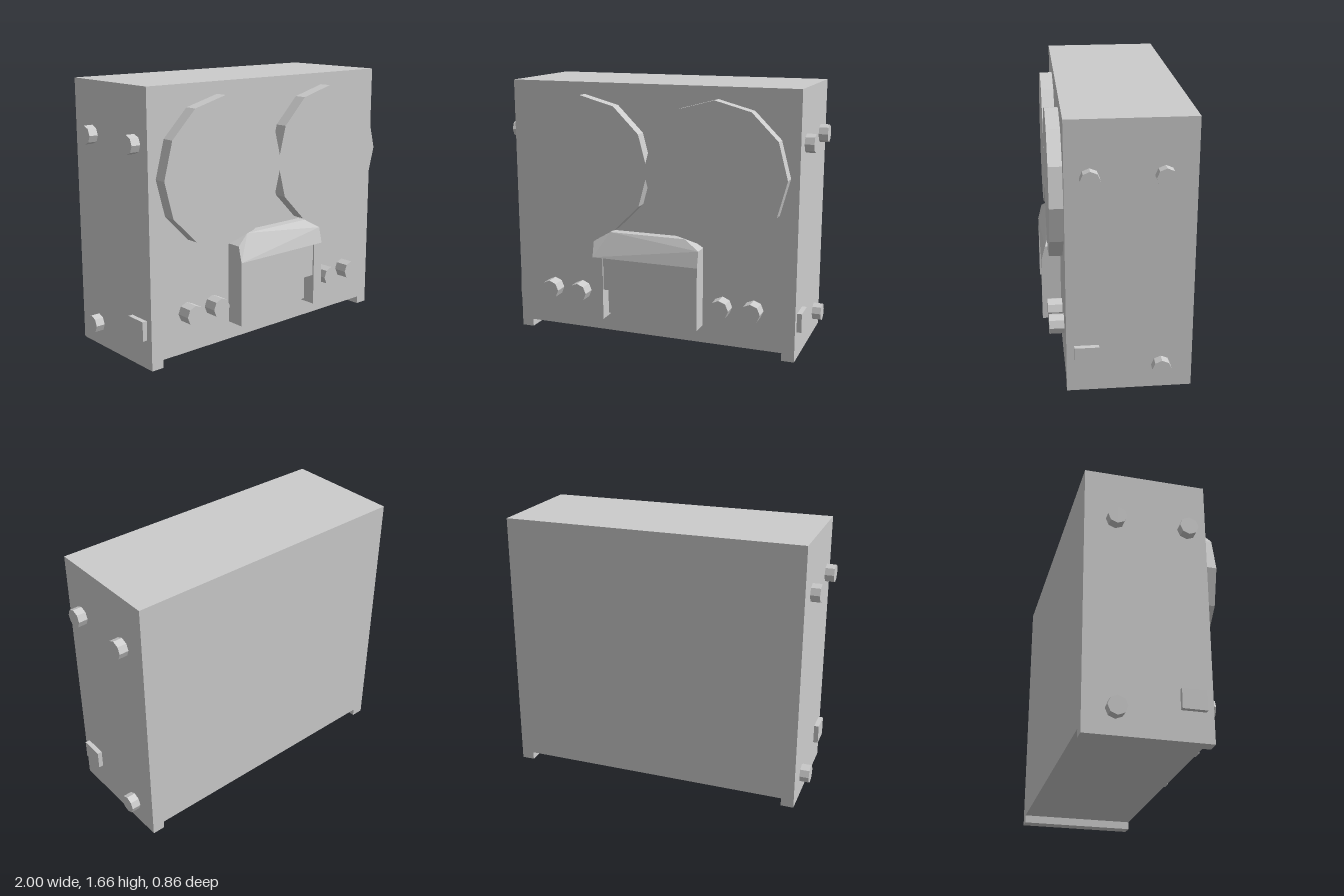
import * as THREE from 'three';

export function createModel() {
  const model = new THREE.Group();
  model.name = 'tapeRecorder';
  const grey = new THREE.MeshStandardMaterial({ color: 0xcccccc, flatShading: true });
  grey.name = 'plain grey';
  const FRONT = 0.31, BACK = -0.43, SIDE = 0.94;

  function add(name, geometry, x = 0, y = 0, z = 0) {
    const mesh = new THREE.Mesh(geometry, grey);
    mesh.name = name;
    mesh.position.set(x, y, z);
    model.add(mesh);
    return mesh;
  }
  // Box given by its limits
  function block(name, x0, x1, y0, y1, z0, z1) {
    return add(name, new THREE.BoxGeometry(x1 - x0, y1 - y0, z1 - z0),
      (x0 + x1) / 2, (y0 + y1) / 2, (z0 + z1) / 2);
  }
  function extrude(points, depth) {
    const shape = new THREE.Shape(points.map(([x, y]) => new THREE.Vector2(x, y)));
    return new THREE.ExtrudeGeometry(shape, { depth, bevelEnabled: false });
  }
  // Faceted disc whose axis runs along z
  function disc(radius, depth, sides) {
    return new THREE.CylinderGeometry(radius, radius, depth, sides).rotateX(Math.PI / 2);
  }

  // Case with a runner along each lower side
  add('case', extrude([
    [-SIDE, 0], [-0.86, 0], [-0.86, 0.05], [0.86, 0.05],
    [0.86, 0], [SIDE, 0], [SIDE, 1.665], [-SIDE, 1.665],
  ], FRONT - BACK), 0, 0, BACK);

  // Head cover hood: the front leans back towards the top
  const hood = extrude([
    [-0.35, 0.57], [0.35, 0.57], [0.35, 0.67],
    [0.25, 0.73], [-0.25, 0.73], [-0.35, 0.67],
  ], 0.12);
  const p = hood.attributes.position;
  for (let i = 0; i < p.count; i++) {
    if (p.getZ(i) < 0.06) continue;
    const y = p.getY(i);
    if (y > 0.7) p.setZ(i, 0.06);
    else if (y > 0.6) p.setZ(i, 0.095);
  }
  hood.computeVertexNormals();
  add('headCoverHood', hood, 0, 0, FRONT);

  // Panels set between the posts of the head cover
  block('upperHeadPanel', -0.28, 0.28, 0.36, 0.57, FRONT, 0.42);
  block('lowerHeadPanel', -0.28, 0.28, 0.18, 0.36, FRONT, 0.345);

  for (const s of [-1, 1]) {
    const side = s > 0 ? 'left' : 'right';

    add(side + 'Reel', disc(0.45, 0.08, 12), s * 0.437, 1.14, FRONT + 0.04);

    block(side + 'HeadCoverPost', s * 0.315 - 0.035, s * 0.315 + 0.035, 0.165, 0.57, FRONT, 0.43);

    // Front control knobs
    for (const x of [0.48, 0.68])
      add(side + 'Knob', disc(0.062, 0.09, 8), s * x, 0.307, FRONT + 0.045);

    // Round pegs on the side of the case
    for (const [y, z] of [[1.335, s > 0 ? 0.17 : 0.19], [1.34, -0.245], [0.15, -0.245]]) {
      const peg = new THREE.CylinderGeometry(0.057, 0.057, 0.058, 8).rotateZ(Math.PI / 2);
      add(side + 'SidePeg', peg, s * (SIDE + 0.029), y, z);
    }

    // Socket plate low on the side
    const mid = s * (SIDE + 0.015);
    block(side + 'SocketPlate', mid - 0.015, mid + 0.015, 0.18, 0.3, 0.12, 0.265);
  }
  // Widest pegs reach the full two-unit width
  for (const m of model.children)
    if (m.name.endsWith('SidePeg')) m.position.x *= 0.971 / 0.969;
  return model;
}
